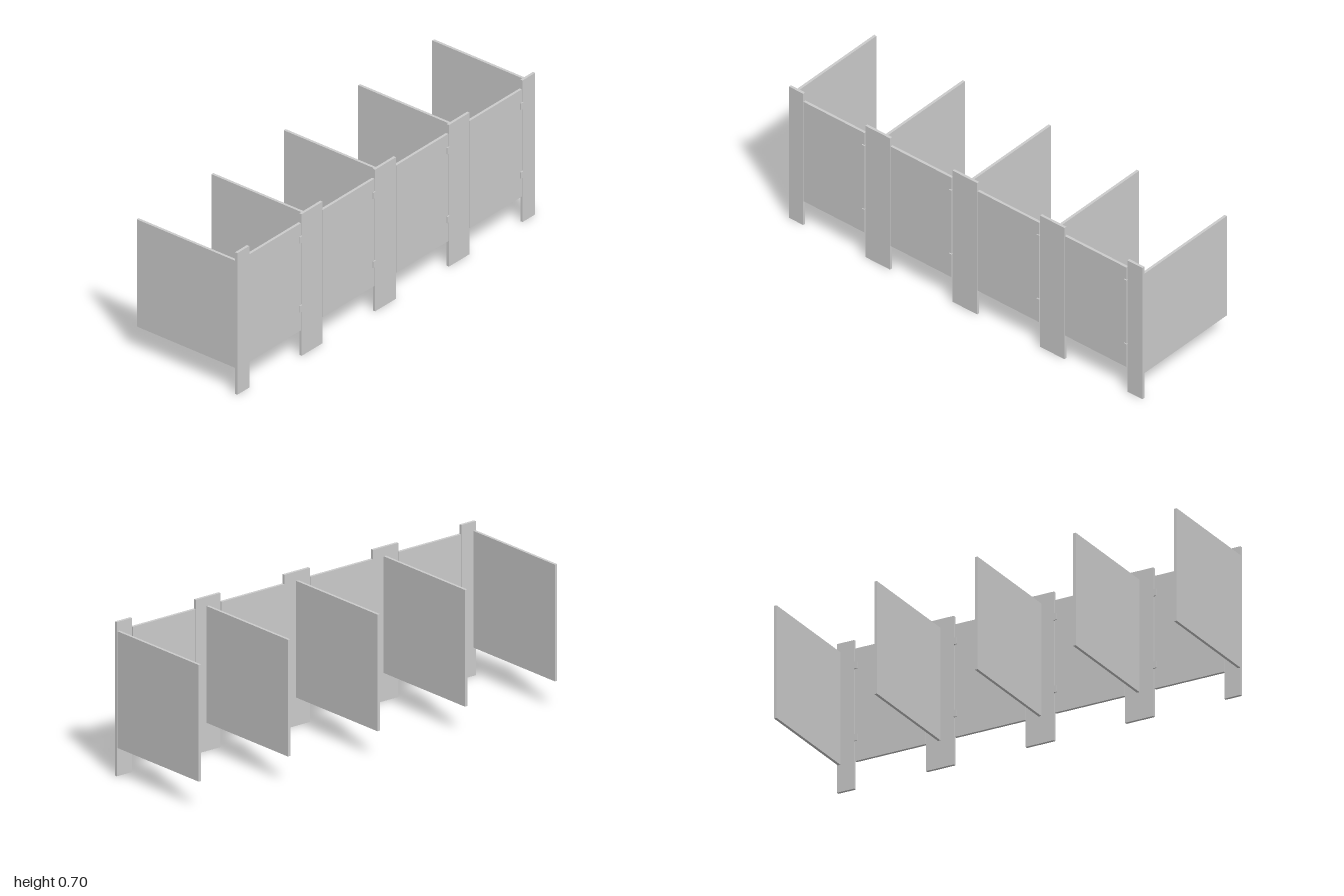
import * as THREE from 'three';

export function createModel() {
  const root = new THREE.Group();
  root.name = 'stallRow';
  const material = new THREE.MeshStandardMaterial({ color: 0xcccccc, flatShading: true });

  // Box given by its extents on each axis
  const box = (name, [x0, x1], [y0, y1], [z0, z1]) => {
    const mesh = new THREE.Mesh(new THREE.BoxGeometry(x1 - x0, y1 - y0, z1 - z0), material);
    mesh.position.set((x0 + x1) / 2, (y0 + y1) / 2, (z0 + z1) / 2);
    mesh.name = name;
    root.add(mesh);
  };

  const height = 0.705;
  const panelY = [0.129, 0.663];
  const frontZ = [0.266, 0.279];
  const depthZ = [-0.284, 0.266];
  const thickness = 0.013;
  const pilasters = [[-1, -0.92], [-0.568, -0.428], [-0.075, 0.065], [0.421, 0.559], [0.915, 1]];
  const dividers = [-0.9935, -0.493, -0.006, 0.493, 0.99];

  // Front posts reaching the floor
  pilasters.forEach((x, i) => box(`pilaster${i + 1}`, x, [0, height], frontZ));

  // Walls between the stalls
  dividers.forEach((x, i) =>
    box(`divider${i + 1}`, [x - thickness / 2, x + thickness / 2], panelY, depthZ));

  // Doors between posts, each with two hinges on its +x edge
  for (let i = 0; i < 4; i++) {
    const x0 = pilasters[i][1] + 0.002;
    const x1 = pilasters[i + 1][0] - 0.005;
    box(`door${i + 1}`, [x0, x1], panelY, frontZ);
    for (const y of [0.24, 0.583]) {
      box(`hinge${i + 1}`, [x1 - 0.011, x1 + 0.004], [y - 0.016, y + 0.016], [0.261, 0.284]);
    }
  }
  return root;
}
